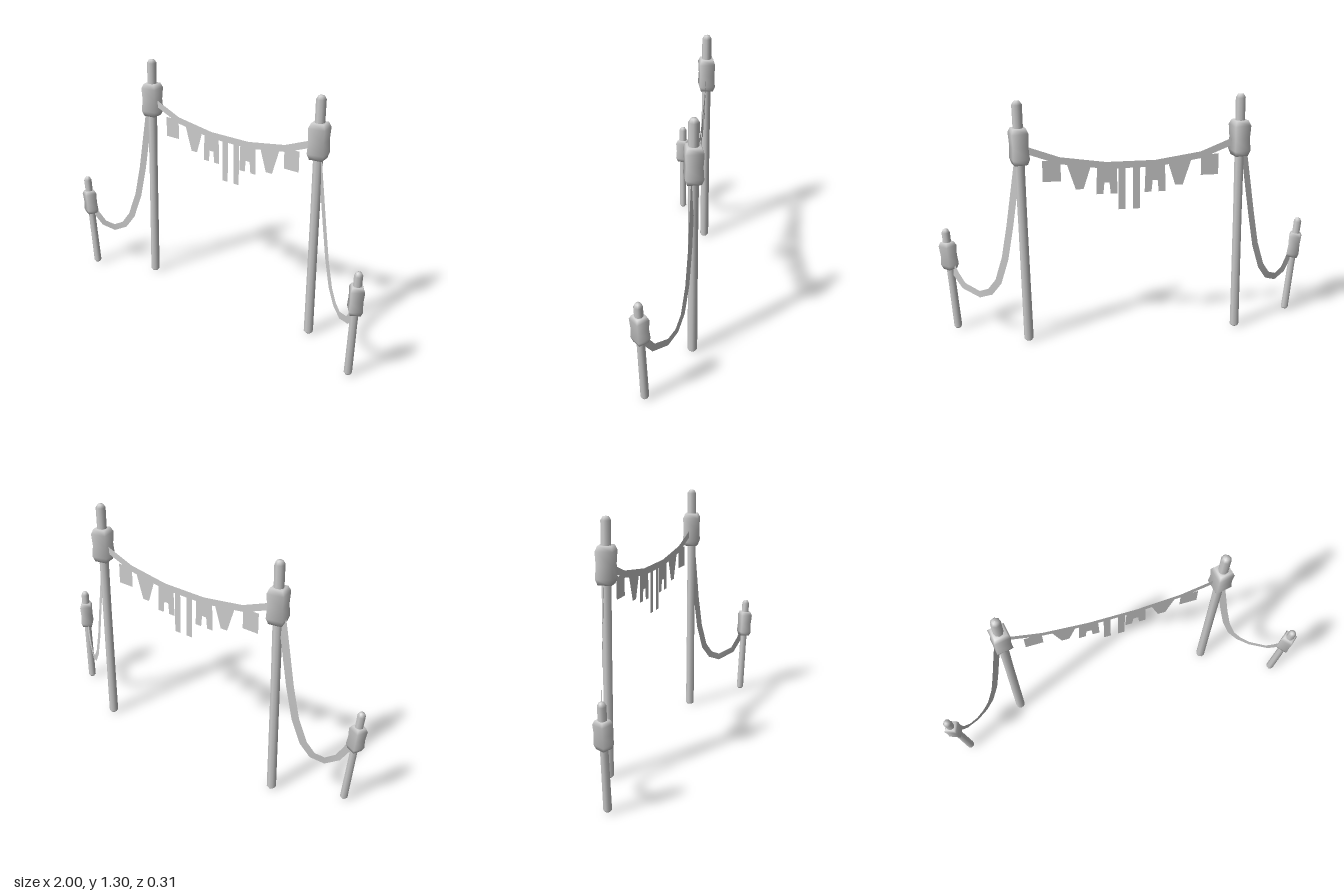
import * as THREE from 'three';

const wood = new THREE.MeshStandardMaterial({ color: 0xcccccc });
const cloth = new THREE.MeshStandardMaterial({ color: 0xcccccc, side: THREE.DoubleSide });
const V3 = (a) => new THREE.Vector3(...a);

function add(parent, name, geometry, material) {
  const mesh = new THREE.Mesh(geometry, material);
  mesh.name = name;
  parent.add(mesh);
  return mesh;
}

// Profile points are [radius, height]
const lathe = (pts, sides) =>
  new THREE.LatheGeometry(pts.map(([r, y]) => new THREE.Vector2(r, y)), sides);

// Leaning pole with bevelled ends and a square, waisted binding around it
function makePost(name, base, top, r, bindFrom, bindTo, bindR, twist) {
  const a = V3(base), axis = V3(top).sub(a), h = axis.length();
  const post = new THREE.Group();
  post.name = name;
  post.position.copy(a);
  post.quaternion.setFromUnitVectors(new THREE.Vector3(0, 1, 0), axis.normalize());
  add(post, 'pole', lathe([
    [0, 0], [r * 0.6, 0.002], [r * 0.95, 0.012], [r * 0.9, h * 0.5],
    [r, h - 0.02], [r * 0.6, h - 0.003], [0, h],
  ], 8), wood);
  const b = bindTo - bindFrom;
  const binding = add(post, 'binding', lathe([
    [0, 0], [bindR * 0.78, 0], [bindR, b * 0.16], [bindR * 0.91, b * 0.5],
    [bindR, b * 0.86], [bindR * 0.76, b], [0, b],
  ], 4), wood);
  binding.position.y = bindFrom;
  binding.rotation.y = Math.PI / 4 + twist;
  return post;
}

// Flat upright ribbon following a hanging path
function makeRibbon(points, width) {
  const p = points.map(V3), pos = [], index = [];
  const side = p[p.length - 1].clone().sub(p[0]).setY(0).normalize();
  side.cross(new THREE.Vector3(0, 1, 0));
  p.forEach((q, i) => {
    const t = p[Math.min(i + 1, p.length - 1)].clone().sub(p[Math.max(i - 1, 0)]);
    const n = side.clone().cross(t).normalize().multiplyScalar(width / 2);
    pos.push(...q.clone().add(n).toArray(), ...q.clone().sub(n).toArray());
    if (i) index.push(2 * i - 2, 2 * i - 1, 2 * i, 2 * i - 1, 2 * i + 1, 2 * i);
  });
  const g = new THREE.BufferGeometry();
  g.setAttribute('position', new THREE.Float32BufferAttribute(pos, 3));
  g.setIndex(index);
  g.computeVertexNormals();
  return g;
}

export function createModel() {
  const model = new THREE.Group();
  model.name = 'buntingFence';

  // Posts
  model.add(
    makePost('tallPostRight', [-0.582, 0.004, -0.1], [-0.565, 1.3, -0.1], 0.026, 0.975, 1.16, 0.061, 0.17),
    makePost('tallPostLeft', [0.546, 0.004, -0.1], [0.561, 1.3, -0.1], 0.026, 0.975, 1.16, 0.061, 0.2),
    makePost('shortPostRight', [-0.922, 0.01, 0.057], [-0.972, 0.555, 0.062], 0.022, 0.32, 0.46, 0.046, -0.4),
    makePost('shortPostLeft', [0.921, 0.008, 0.1], [0.956, 0.58, 0.117], 0.022, 0.35, 0.5, 0.047, 0.7),
  );

  // Sagging ropes
  add(model, 'mainRope', makeRibbon([
    [-0.575, 1.07, -0.1], [-0.37, 0.988, -0.1], [-0.13, 0.953, -0.1],
    [0.125, 0.953, -0.1], [0.36, 0.988, -0.1], [0.555, 1.06, -0.1],
  ], 0.036), cloth);
  add(model, 'sideRopeRight', makeRibbon([
    [-0.585, 1.05, -0.1], [-0.605, 0.94, -0.098], [-0.652, 0.65, -0.09], [-0.686, 0.47, -0.078],
    [-0.73, 0.335, -0.06], [-0.775, 0.268, -0.04], [-0.83, 0.243, -0.01],
    [-0.885, 0.268, 0.023], [-0.92, 0.325, 0.045], [-0.945, 0.38, 0.055],
  ], 0.038), cloth);
  add(model, 'sideRopeLeft', makeRibbon([
    [0.558, 1.05, -0.1], [0.576, 0.94, -0.098], [0.62, 0.65, -0.09], [0.652, 0.47, -0.08],
    [0.692, 0.335, -0.062], [0.737, 0.27, -0.037], [0.793, 0.243, 0],
    [0.875, 0.272, 0.06], [0.913, 0.33, 0.086], [0.94, 0.39, 0.106],
  ], 0.038), cloth);

  // Flags: outlines in their own centred coordinates, hanging from the rope
  const square = [[-0.046, 0.99], [-0.046, 0.88], [0.046, 0.88], [0.046, 0.99]];
  const taper = [[-0.062, 0.965], [-0.02, 0.833], [0.02, 0.833], [0.062, 0.965]];
  const strip = [[-0.018, 0.945], [-0.018, 0.715], [0.018, 0.715], [0.018, 0.945]];
  const notched = [[-0.05, 0.955], [-0.055, 0.802], [-0.019, 0.802], [-0.013, 0.863],
    [0.013, 0.863], [0.019, 0.802], [0.055, 0.802], [0.05, 0.955]];
  const flags = [
    ['squareFlag', square, -0.415, 0.4], ['taperedFlag', taper, -0.255, 0.26],
    ['notchedFlag', notched, -0.13, 0.12], ['stripFlag', strip, -0.033, 0.043],
  ];
  for (const [name, outline, ...xs] of flags) {
    const shape = new THREE.Shape(outline.map(([x, y]) => new THREE.Vector2(x, y)));
    xs.forEach((x, i) => {
      const flag = add(model, name + (i ? 'Left' : 'Right'), new THREE.ShapeGeometry(shape), cloth);
      flag.position.set(x, 0, -0.1);
    });
  }
  return model;
}
